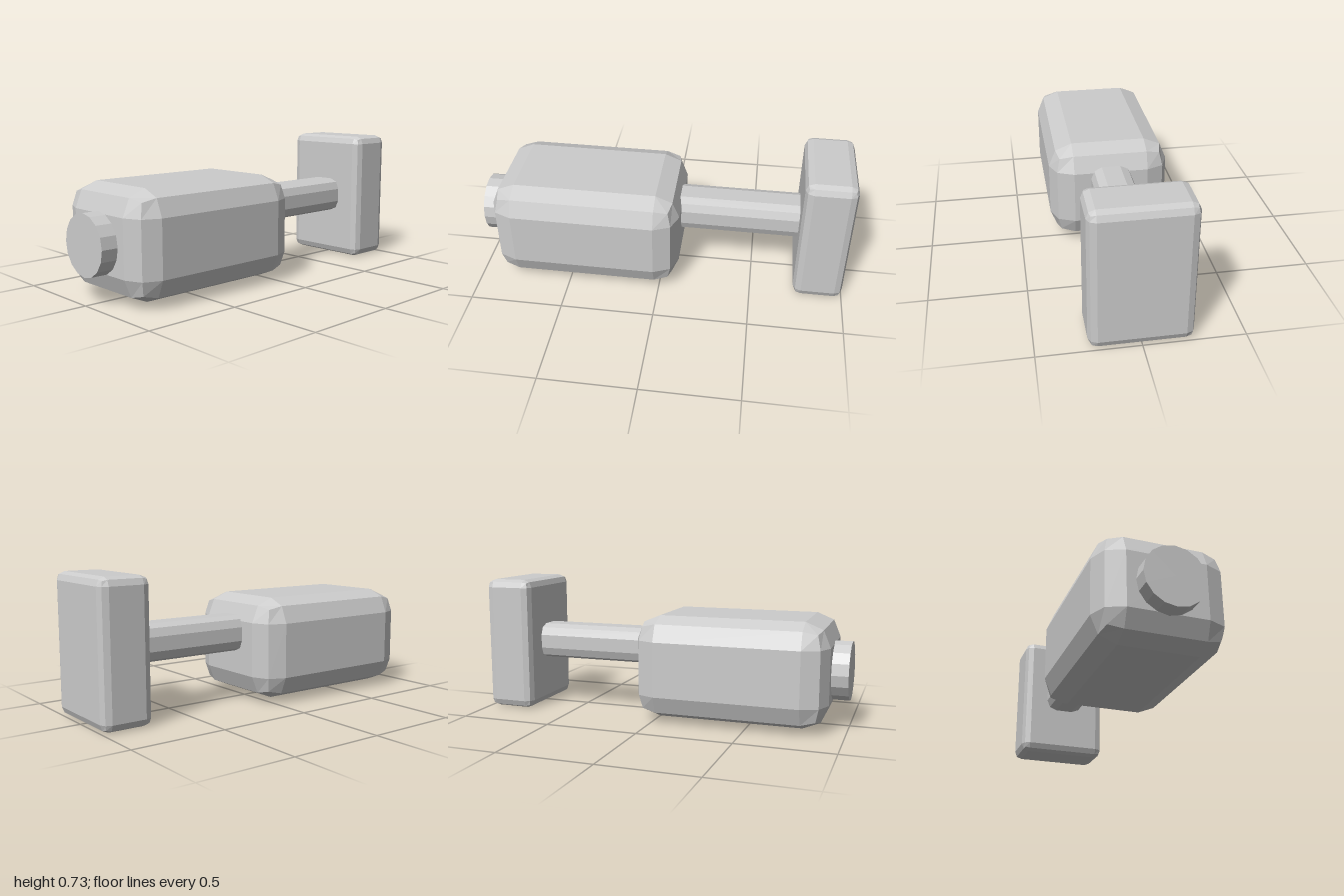
import * as THREE from 'three';
import { RoundedBoxGeometry } from 'three/addons/geometries/RoundedBoxGeometry.js';

export function createModel() {
  const group = new THREE.Group();
  const grey = new THREE.MeshStandardMaterial({ color: 0xcccccc, flatShading: true });
  grey.name = 'plain grey';

  const add = (name, geometry, y, z) => {
    const mesh = new THREE.Mesh(geometry, grey);
    mesh.name = name;
    mesh.position.set(0, y, z);
    group.add(mesh);
    return mesh;
  };

  // Bevelled block: two facets round every edge
  const block = (name, w, h, d, bevel, y, z) =>
    add(name, new RoundedBoxGeometry(w, h, d, 1, bevel), y, z);

  block('body', 0.654, 0.544, 1.016, 0.127, 0.292, 0.406);
  block('backPlate', 0.506, 0.727, 0.266, 0.043, 0.3635, -0.867);

  // Connecting bar, sunk into the body and the plate
  block('connectingBar', 0.22, 0.194, 0.86, 0.06, 0.368, -0.42);

  // Sixteen-sided stub on the front face
  const stub = new THREE.CylinderGeometry(0.155, 0.155, 0.2, 16).rotateX(Math.PI / 2);
  add('frontStub', stub, 0.292, 0.9);

  return group;
}
